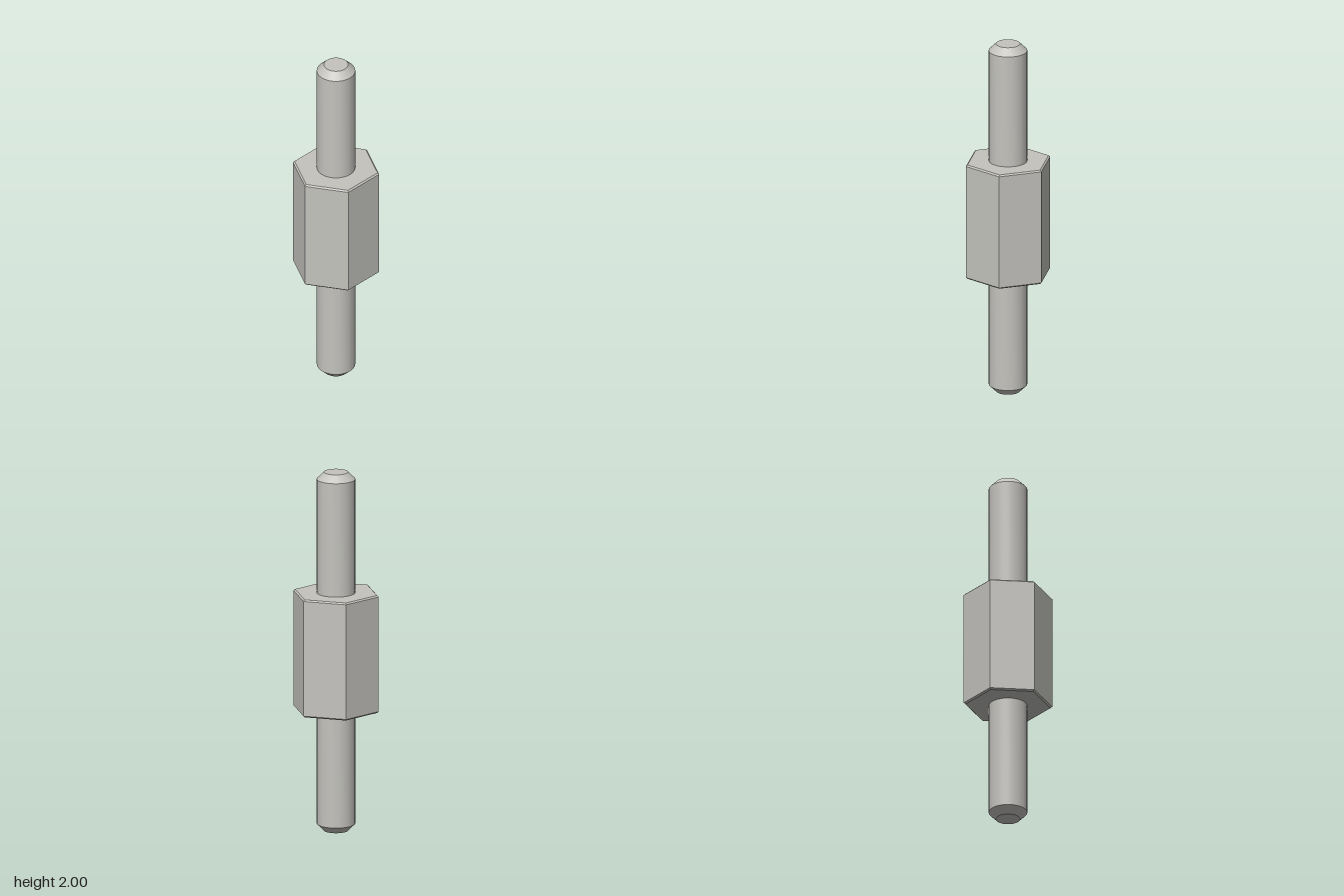
import * as THREE from 'three';
import { toCreasedNormals } from 'three/addons/utils/BufferGeometryUtils.js';

// Revolve a bottom-to-top [radius, y] profile, keeping sharp edges
function turned(name, profile, sides, start, material) {
  const points = profile.map(([r, y]) => new THREE.Vector2(r, y));
  const geometry = toCreasedNormals(new THREE.LatheGeometry(points, sides, start), 0.5);
  const mesh = new THREE.Mesh(geometry, material);
  mesh.name = name;
  return mesh;
}

export function createModel() {
  const group = new THREE.Group();
  group.name = 'hexStandoff';
  const steel = new THREE.MeshStandardMaterial({ color: 0xc4c3be });
  steel.name = 'steel';

  const bodyBottom = 0.672, bodyTop = 1.328;
  const hexRadius = 0.24, hexBevel = 0.008;
  const studRadius = 0.104, tipRadius = 0.065, tipHeight = 0.039;

  // Hexagonal body with corners on the x axis and thin bevels
  group.add(turned('hexBody', [
    [0, bodyBottom],
    [hexRadius - hexBevel * 1.15, bodyBottom],
    [hexRadius, bodyBottom + hexBevel],
    [hexRadius, bodyTop - hexBevel],
    [hexRadius - hexBevel * 1.15, bodyTop],
    [0, bodyTop],
  ], 6, Math.PI / 6, steel));

  // Round studs with chamfered tips
  group.add(turned('upperStud', [
    [studRadius, bodyTop],
    [studRadius, 2 - tipHeight],
    [tipRadius, 2],
    [0, 2],
  ], 64, 0, steel));
  group.add(turned('lowerStud', [
    [0, 0],
    [tipRadius, 0],
    [studRadius, tipHeight],
    [studRadius, bodyBottom],
  ], 64, 0, steel));

  return group;
}
